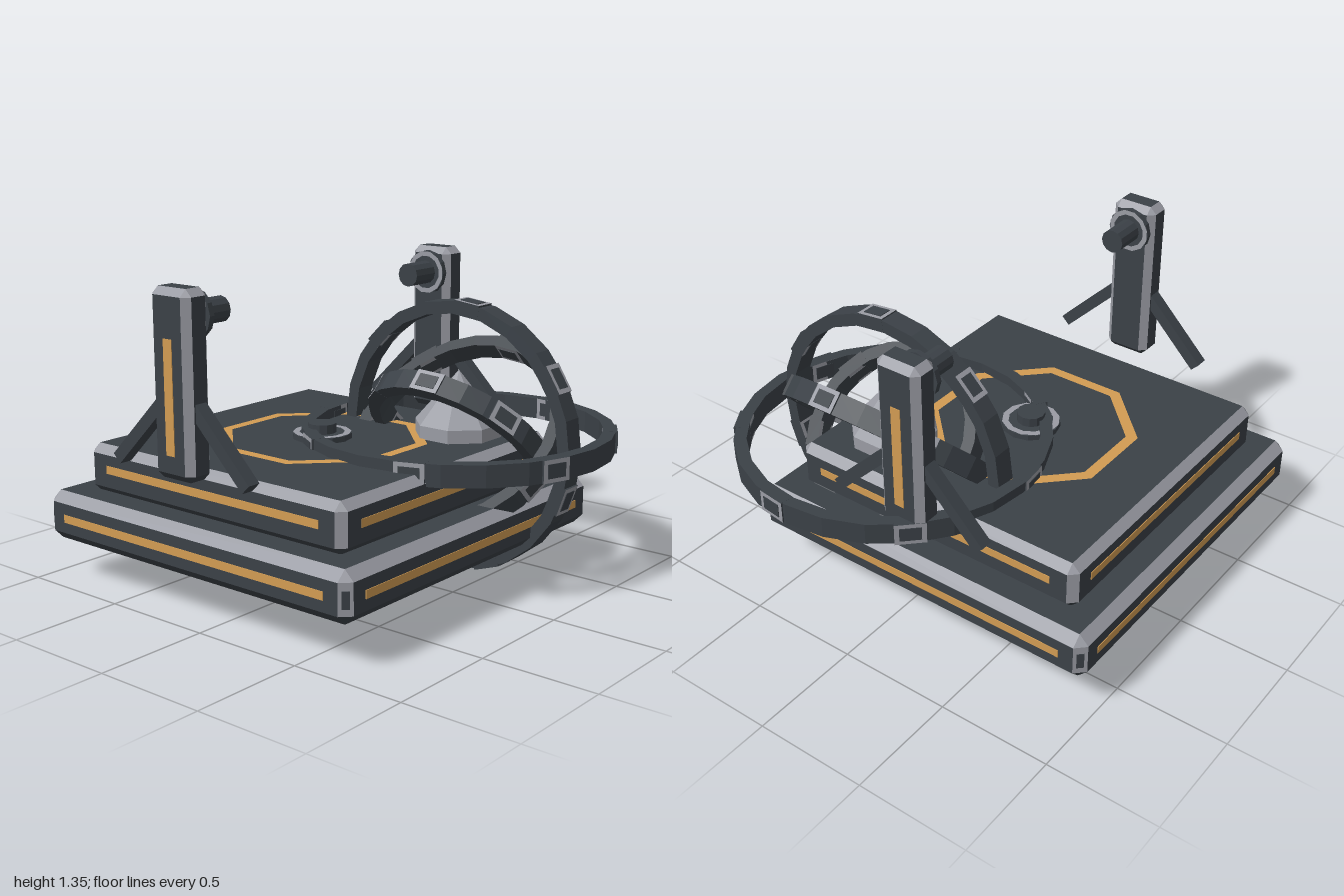
import * as THREE from 'three';

const mat = (name, color) => new THREE.MeshStandardMaterial({ name, color });

export function createModel() {
  const model = new THREE.Group();
  model.name = 'gyroscopeShrine';
  const dark = mat('darkMetal', 0x3b4147);
  const grey = mat('paleMetal', 0x9a9ca4);
  const orange = mat('amberInlay', 0xd29c53);
  const CX = -0.11, CZ = -0.13;

  const add = (parent, name, geo, material, x = 0, y = 0, z = 0) => {
    const m = new THREE.Mesh(geo, material);
    m.name = name;
    m.position.set(x, y, z);
    parent.add(m);
    return m;
  };
  const box = (w, h, d) => new THREE.BoxGeometry(w, h, d);
  const facet = (geo) => {
    const g = geo.toNonIndexed();
    g.computeVertexNormals();
    return g;
  };

  // Chamfered block: dark faces, pale chamfers (the underside chamfers stay dark)
  function chamferBlock(parent, name, w, h, d, c, x, y, z) {
    const half = [w / 2, h / 2, d / 2];
    const corner = (s, axis) =>
      new THREE.Vector3(...s.map((v, i) => v * (half[i] - (i === axis ? 0 : c))));
    const faces = [], bevels = [];
    const tri = (list, a, b, e) => {
      const n = b.clone().sub(a).cross(e.clone().sub(a));
      const out = a.clone().add(b).add(e);
      const order = n.dot(out) > 0 ? [a, b, e] : [a, e, b];
      order.forEach((p) => list.push(p.x, p.y, p.z));
    };
    const quad = (list, a, b, e, f) => { tri(list, a, b, e); tri(list, a, e, f); };
    const sign = [-1, 1];
    for (let i = 0; i < 3; i++) {
      const j = (i + 1) % 3, k = (i + 2) % 3;
      const s = (a, b, e) => { const r = []; r[i] = a; r[j] = b; r[k] = e; return r; };
      for (const u of sign) {
        quad(faces, corner(s(u, -1, -1), i), corner(s(u, 1, -1), i),
          corner(s(u, 1, 1), i), corner(s(u, -1, 1), i));
        for (const v of sign) {
          const under = s(0, u, v)[1] === -1;
          quad(under ? faces : bevels, corner(s(-1, u, v), j), corner(s(1, u, v), j),
            corner(s(1, u, v), k), corner(s(-1, u, v), k));
        }
      }
    }
    for (const a of sign) for (const b of sign) for (const e of sign) {
      const s = [a, b, e];
      tri(b < 0 ? faces : bevels, corner(s, 0), corner(s, 1), corner(s, 2));
    }
    const build = (list) => {
      const g = new THREE.BufferGeometry();
      g.setAttribute('position', new THREE.Float32BufferAttribute(list, 3));
      g.computeVertexNormals();
      return g;
    };
    add(parent, name + 'Faces', build(faces), dark, x, y, z);
    add(parent, name + 'Chamfers', build(bevels), grey, x, y, z);
  }

  // Stepped square base with an inlaid stripe on each side
  function tier(name, size, y0, y1, c, stripeY, stripeLength) {
    const g = new THREE.Group();
    g.name = name;
    g.position.set(CX, 0, CZ);
    model.add(g);
    chamferBlock(g, name, size, y1 - y0, size, c, 0, (y0 + y1) / 2, 0);
    for (let i = 0; i < 4; i++) {
      const side = new THREE.Group();
      side.name = name + 'Side';
      side.rotation.y = i * Math.PI / 2;
      g.add(side);
      add(side, 'sideStripe', box(stripeLength, 0.035, 0.006), orange, 0, stripeY, size / 2);
    }
    return g;
  }
  const lower = tier('lowerTier', 1.68, 0.18, 0.395, 0.042, 0.287, 1.46);
  tier('upperTier', 1.42, 0.385, 0.6, 0.036, 0.5, 1.19);
  for (const sx of [-1, 1]) for (const sz of [-1, 1]) {
    const p = add(lower, 'cornerInset', box(0.03, 0.07, 0.006), dark, sx * 0.819, 0.285, sz * 0.819);
    p.rotation.y = Math.atan2(sx, sz);
  }

  // Octagonal floor inlay
  const flatRing = (inner, outer, n) =>
    new THREE.RingGeometry(inner, outer, n, 1, Math.PI / n).rotateX(-Math.PI / 2);
  const k = Math.cos(Math.PI / 8);
  add(model, 'floorOctagon', flatRing(0.387 / k, 0.435 / k, 8), orange, CX, 0.603, CZ);

  // Emitter: flange, pale trim and stub, pointing up its local y
  function emitter(parent, name, flange, radius, length) {
    const g = new THREE.Group();
    g.name = name;
    parent.add(g);
    add(g, 'flange', facet(new THREE.CylinderGeometry(flange, flange, 0.024, 12)), dark, 0, 0.012, 0);
    add(g, 'flangeTrim', flatRing(flange * 0.76, flange * 0.98, 12), grey, 0, 0.026, 0);
    add(g, 'stub', facet(new THREE.CylinderGeometry(radius, radius, length, 12)), dark, 0, length / 2, 0);
    return g;
  }
  emitter(model, 'floorEmitter', 0.13, 0.062, 0.065).position.set(CX, 0.6, CZ);

  // Side pylons, mirrored, with emitters facing inward and sloping braces
  for (const s of [-1, 1]) {
    const g = new THREE.Group();
    g.name = s < 0 ? 'rightPylon' : 'leftPylon';
    g.position.set(CX + s * 0.825, 0, CZ);
    model.add(g);
    chamferBlock(g, 'pylon', 0.132, 0.757, 0.21, 0.03, 0, 0.9765, 0);
    add(g, 'pylonStripe', box(0.006, 0.46, 0.046), orange, s * 0.066, 0.93, 0);
    const e = emitter(g, 'pylonEmitter', 0.1, 0.053, 0.16);
    e.position.set(-s * 0.065, 1.24, 0);
    e.rotation.z = s * Math.PI / 2;
    for (const t of [-1, 1]) {
      const brace = add(g, 'brace', box(0.058, 0.4, 0.052), dark, 0, 0.763, t * 0.218);
      brace.rotation.x = -t * Math.PI / 4;
    }
  }

  // Nested gimbal rings, each carrying seven framed nodes
  const gimbal = new THREE.Group();
  gimbal.name = 'gimbal';
  gimbal.position.set(0.31, 0.598, 0.292);
  model.add(gimbal);
  const nodeMats = [grey, grey, dark, dark, dark, dark];
  [[0.685, 0], [0.595, 90], [0.505, 45], [0.415, 135]].forEach(([r, angle], i) => {
    const ring = new THREE.Group();
    ring.name = 'gimbalRing' + (i + 1);
    ring.rotation.z = THREE.MathUtils.degToRad(angle);
    gimbal.add(ring);
    const q = r - 0.055, h = 0.0475;
    const profile = [[r, -h], [r, h], [q, h], [q, -h], [r, -h]].map((p) => new THREE.Vector2(...p));
    add(ring, 'band', facet(new THREE.LatheGeometry(profile, 24)), dark);
    for (let n = 0; n < 7; n++) {
      const phi = -Math.PI / 4 + n * 2 * Math.PI / 7;
      const node = new THREE.Group();
      node.name = 'ringNode';
      node.rotation.y = -phi;
      ring.add(node);
      add(node, 'nodeFrame', box(0.062, 0.096, 0.13), nodeMats, r - 0.029);
      add(node, 'outerInset', box(0.004, 0.06, 0.09), dark, r + 0.003);
      add(node, 'innerInset', box(0.004, 0.06, 0.09), dark, r - 0.061);
    }
  });

  // Faceted crystal at the heart of the rings
  const gem = [[0, -0.285], [0.193, -0.06], [0.193, 0.06], [0, 0.288]].map((p) => new THREE.Vector2(...p));
  add(gimbal, 'crystal', facet(new THREE.LatheGeometry(gem, 8, Math.PI / 8)), grey);

  return model;
}
